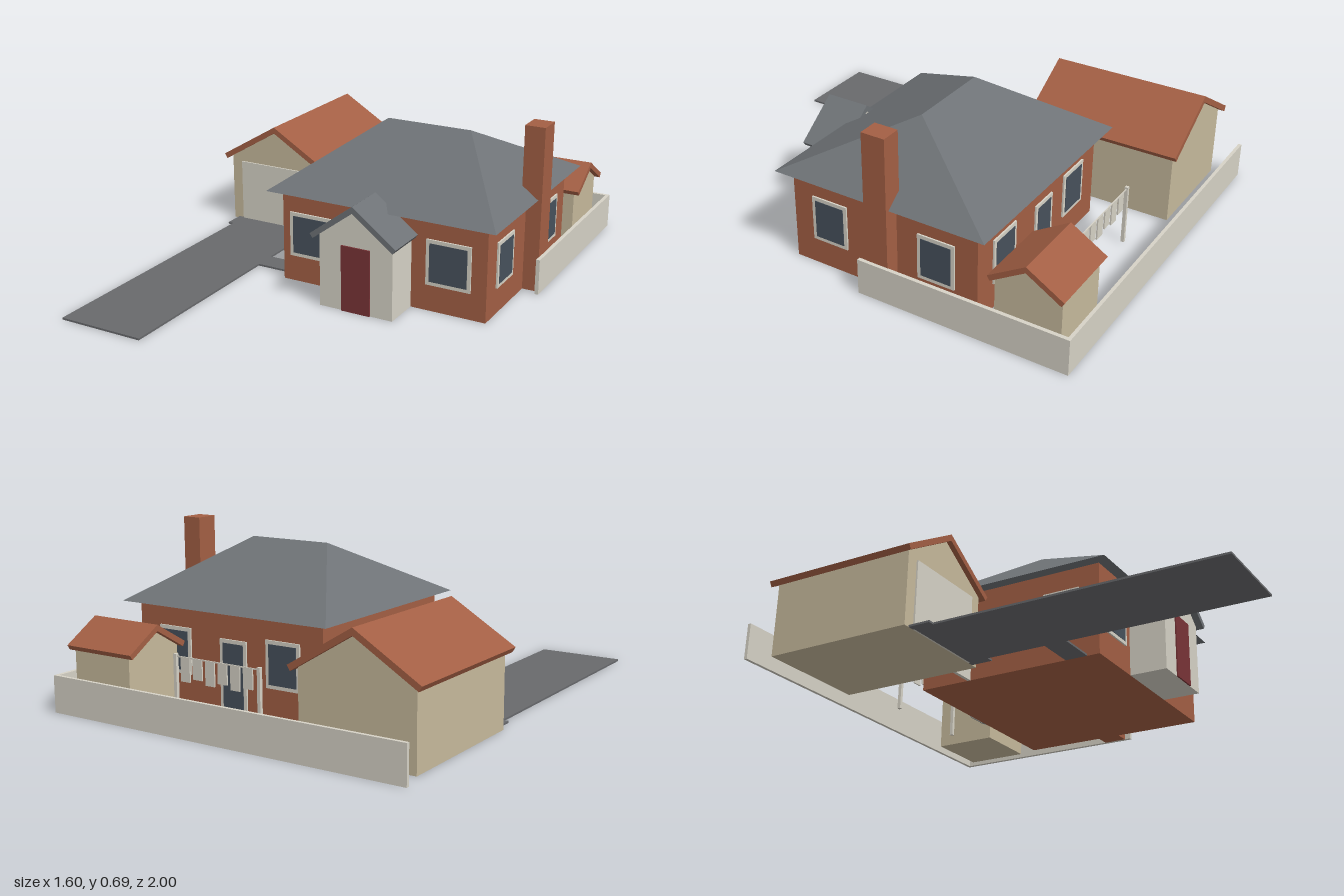
import * as THREE from 'three';

const mat = (name, color) => {
  const m = new THREE.MeshStandardMaterial({ color });
  m.name = name;
  return m;
};

export function createModel() {
  const brick = mat('brick', 0xa35f44);
  const slate = mat('slate', 0x6e7276);
  const cream = mat('cream', 0xd6d2c6);
  const tan = mat('tan', 0xc6b99c);
  const glass = mat('glass', 0x47515c);
  const doorRed = mat('door red', 0x793437);
  const asphalt = mat('asphalt', 0x68696c);

  const model = new THREE.Group();
  model.name = 'bungalow';

  const add = (parent, name, geometry, material) => {
    const mesh = new THREE.Mesh(geometry, material);
    mesh.name = name;
    parent.add(mesh);
    return mesh;
  };
  const group = (name) => {
    const g = new THREE.Group();
    g.name = name;
    model.add(g);
    return g;
  };
  // Box given by its limits on each axis
  const box = (parent, name, material, x0, x1, y0, y1, z0, z1) => {
    const mesh = add(parent, name, new THREE.BoxGeometry(x1 - x0, y1 - y0, z1 - z0), material);
    mesh.position.set((x0 + x1) / 2, (y0 + y1) / 2, (z0 + z1) / 2);
    return mesh;
  };
  const prism = (points, depth) => {
    const shape = new THREE.Shape(points.map(([x, y]) => new THREE.Vector2(x, y)));
    return new THREE.ExtrudeGeometry(shape, { depth, bevelEnabled: false }).translate(0, 0, -depth / 2);
  };
  // Gabled walls and a folded roof slab, ridge along the group's z
  const gabled = (name, wallMat, roofMat, o) => {
    const g = group(name);
    const slope = (o.peak - o.eave) / o.roofHalf;
    const drop = o.thick * Math.hypot(1, slope);
    const top = o.peak - drop;
    const side = top - slope * o.half;
    add(g, name + 'Walls', prism([[-o.half, 0], [o.half, 0], [o.half, side], [0, top], [-o.half, side]], o.depth), wallMat);
    const inX = o.roofHalf - o.thick * slope / Math.hypot(1, slope);
    const inY = top - slope * inX;
    const roof = add(g, name + 'Roof', prism([
      [-o.roofHalf, o.eave], [-inX, inY], [0, top], [inX, inY], [o.roofHalf, o.eave], [0, o.peak],
    ], o.roofDepth), roofMat);
    roof.position.z = o.roofShift || 0;
    return g;
  };

  // Main house walls
  const house = group('house');
  box(house, 'houseWalls', brick, -0.185, 0.72, 0, 0.39, -0.585, 0.24);

  // Hipped roof with a short ridge and a flat underside
  const a = [-0.235, 0.39, 0.29], b = [0.77, 0.39, 0.29], c = [0.77, 0.39, -0.64], d = [-0.235, 0.39, -0.64];
  const r0 = [0.08, 0.625, -0.175], r1 = [0.455, 0.625, -0.175];
  const faces = [a, b, r1, a, r1, r0, b, c, r1, c, d, r0, c, r0, r1, d, a, r0, a, d, c, a, c, b];
  const hip = new THREE.BufferGeometry();
  hip.setAttribute('position', new THREE.Float32BufferAttribute(faces.flat(), 3));
  hip.computeVertexNormals();
  add(house, 'hippedRoof', hip, slate);

  box(house, 'chimney', brick, 0.7, 0.785, 0, 0.692, -0.237, -0.137);

  // Windows: frame and pane as thin plates facing the group's +z
  const windowAt = (name, x, z, turn, w, y0 = 0.112, y1 = 0.302) => {
    const g = group(name);
    g.position.set(x, 0, z);
    g.rotation.y = turn;
    const low = y0 === 0 ? 0 : y0 + 0.015;
    box(g, 'frame', cream, -w / 2, w / 2, y0, y1, 0, 0.007);
    box(g, 'pane', glass, -w / 2 + 0.015, w / 2 - 0.015, low, y1 - 0.015, 0.002, 0.009);
  };
  for (const x of [-0.055, 0.56]) windowAt('frontWindow', x, 0.24, 0, 0.19);
  for (const x of [0, 0.535]) windowAt('backWindow', x, -0.585, Math.PI, 0.16);
  for (const z of [0.07, -0.41]) {
    windowAt('leftWindow', 0.72, z, Math.PI / 2, 0.16);
    windowAt('rightWindow', -0.185, z, -Math.PI / 2, 0.16);
  }
  windowAt('backDoor', 0.24, -0.585, Math.PI, 0.13, 0, 0.28);

  // Gabled entrance porch
  const porch = gabled('porch', cream, slate, {
    half: 0.16, depth: 0.16, roofHalf: 0.187, eave: 0.31, peak: 0.451, thick: 0.022, roofDepth: 0.19, roofShift: 0.015,
  });
  porch.position.set(0.24, 0, 0.32);
  box(porch, 'frontDoor', doorRed, -0.062, 0.064, 0, 0.275, 0.079, 0.086);

  // Garage
  const garage = gabled('garage', tan, brick, {
    half: 0.24, depth: 0.63, roofHalf: 0.271, eave: 0.315, peak: 0.478, thick: 0.024, roofDepth: 0.675,
  });
  garage.position.set(-0.53, 0, -0.572);
  box(garage, 'garageDoor', cream, -0.188, 0.185, 0, 0.285, 0.314, 0.322);

  // Garden shed, ridge running side to side
  const shed = gabled('shed', tan, brick, {
    half: 0.135, depth: 0.28, roofHalf: 0.153, eave: 0.265, peak: 0.357, thick: 0.022, roofDepth: 0.33,
  });
  shed.position.set(0.6, 0, -0.802);
  shed.rotation.y = Math.PI / 2;

  // Paving
  const paving = group('paving');
  box(paving, 'driveway', asphalt, -0.72, -0.35, 0, 0.008, -0.165, 1);
  box(paving, 'garageApron', asphalt, -0.745, -0.32, 0, 0.008, -0.257, -0.165);
  box(paving, 'sidePath', asphalt, -0.35, -0.185, 0, 0.008, 0.09, 0.185);

  // Garden walls and side gate
  const walls = group('gardenWalls');
  box(walls, 'backWall', cream, -0.8, 0.8, 0, 0.15, -1, -0.986);
  box(walls, 'sideWall', cream, 0.784, 0.8, 0, 0.15, -0.986, -0.11);
  box(walls, 'sideGate', cream, -0.29, -0.185, 0, 0.15, -0.367, -0.352);

  // Washing line with hanging cloths
  const line = group('washingLine');
  for (const x of [-0.053, 0.348]) box(line, 'post', cream, x - 0.007, x + 0.007, 0, 0.255, -0.807, -0.793);
  box(line, 'cord', cream, -0.053, 0.348, 0.243, 0.248, -0.802, -0.798);
  for (let i = 0; i < 6; i++) {
    const x = -0.022 + i * 0.06;
    box(line, 'cloth', cream, x, x + 0.044, i % 2 ? 0.15 : 0.165, 0.246, -0.803, -0.797);
  }
  return model;
}
